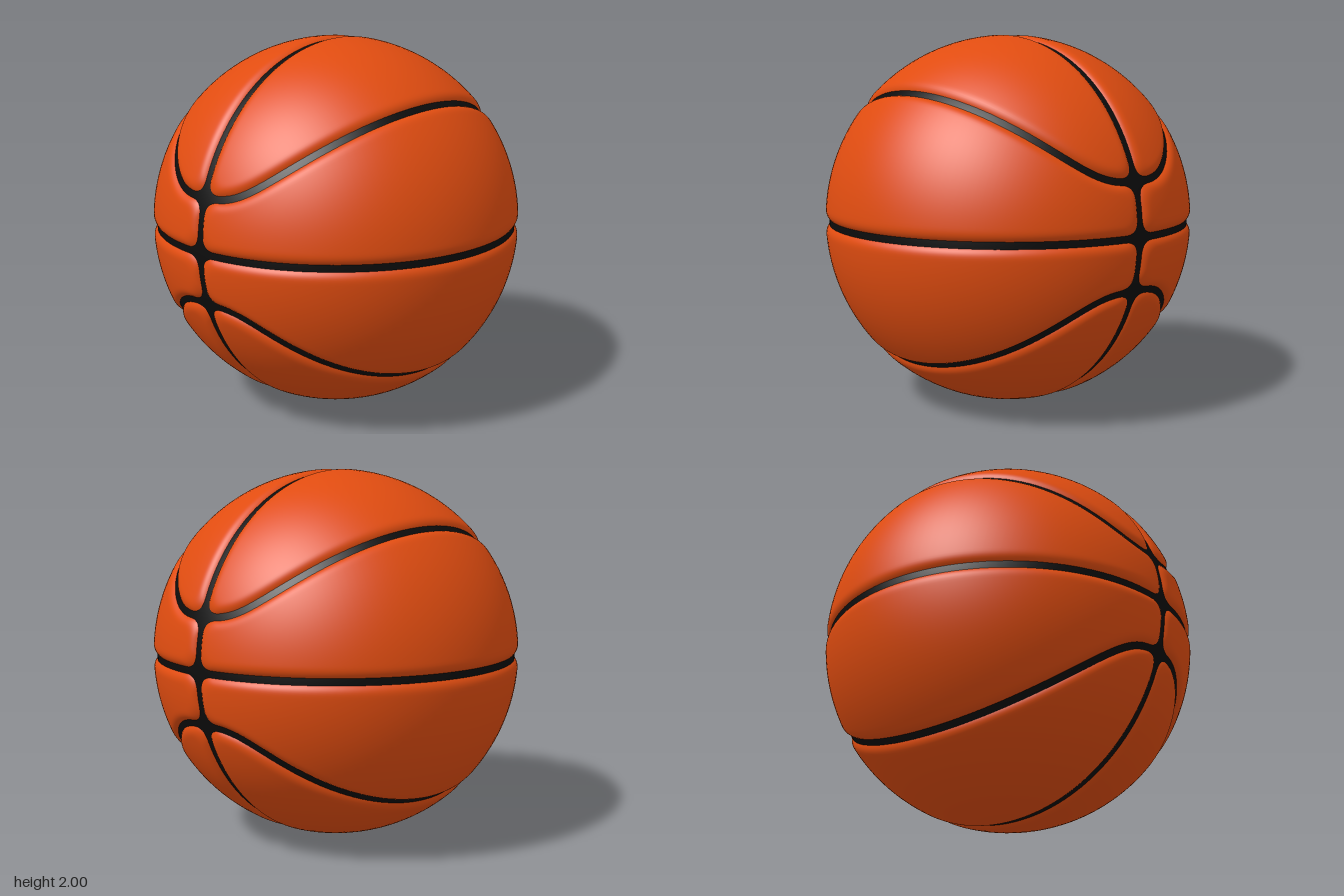
import * as THREE from 'three';

const V = (x, y, z) => new THREE.Vector3(x, y, z).normalize();

// Seam paths of one quarter (y > 0, z > 0) on the unit sphere, t = 0..1 from -x to +x
const END = 0.28; // height of the side junction above the equator
const equator = t => V(-Math.cos(t * Math.PI), 0, Math.sin(t * Math.PI));
const bow = t => {
  const z = 0.7 * Math.sin(t * Math.PI);
  const y = (END ** 3.5 + Math.max(z, 0) ** 3.5) ** (1 / 3.5);
  return V(-0.96 * Math.cos(t * Math.PI), y, z);
};
const meridian = t => {
  const a = Math.asin(END);
  const phi = a + t * (Math.PI - 2 * a);
  return V(-Math.cos(phi), Math.sin(phi), 0);
};

// Distance from a point to the bowed seam
const bowPoints = Array.from({ length: 301 }, (_, i) => bow(i / 300));
const segment = new THREE.Line3();
const nearest = new THREE.Vector3();
function bowDistance(p) {
  let best = Infinity;
  for (let i = 0; i < 300; i++) {
    segment.set(bowPoints[i], bowPoints[i + 1]).closestPointToPoint(p, true, nearest);
    best = Math.min(best, nearest.distanceToSquared(p));
  }
  return Math.sqrt(best);
}

// Smooth minimum rounds the panel corners where seams meet
function smoothMin(a, b, k = 0.08) {
  const h = Math.max(k - Math.abs(a - b), 0) / k;
  return Math.min(a, b) - h * h * k / 4;
}

// Panel surface dips below the seam core near its edges
function surfaceRadius(p) {
  const d = smoothMin(smoothMin(Math.asin(Math.abs(p.y)), Math.asin(Math.abs(p.z))), bowDistance(p));
  const t = THREE.MathUtils.clamp(d / 0.08, 0, 1);
  return 1 - 0.044 * (1 - t) ** 3;
}

// Puffed panel between two seam paths, with rows crowded toward the edges
function panelGeometry(lower, upper, nu = 120, nv = 48) {
  const ease = t => t - 0.8 * Math.sin(2 * Math.PI * t) / (2 * Math.PI);
  const positions = [], index = [];
  for (let j = 0; j <= nv; j++) {
    for (let i = 0; i <= nu; i++) {
      const u = ease(i / nu), v = ease(j / nv);
      const a = lower(u), b = upper(u);
      const angle = a.angleTo(b);
      const p = angle < 1e-5 ? a : a.multiplyScalar(Math.sin((1 - v) * angle))
        .addScaledVector(b, Math.sin(v * angle)).normalize();
      p.multiplyScalar(surfaceRadius(p));
      positions.push(p.x, p.y, p.z);
      if (i < nu && j < nv) {
        const q = j * (nu + 1) + i, r = q + nu + 1;
        index.push(q, q + 1, r, q + 1, r + 1, r);
      }
    }
  }
  const g = new THREE.BufferGeometry();
  g.setAttribute('position', new THREE.Float32BufferAttribute(positions, 3));
  g.setIndex(index);
  g.computeVertexNormals();
  return g;
}

export function createModel() {
  const model = new THREE.Group();
  model.name = 'basketball';
  const leather = new THREE.MeshStandardMaterial({ color: 0xe04c10 });
  const rubber = new THREE.MeshStandardMaterial({ color: 0x0c0c0c });

  // Dark core that shows through as the seams
  const core = new THREE.Mesh(new THREE.SphereGeometry(0.98, 128, 80), rubber);
  core.name = 'seamCore';
  core.position.y = 1;
  model.add(core);

  // Two panels per quarter, turned half a revolution about each axis
  const middle = panelGeometry(equator, bow);
  const cap = panelGeometry(bow, meridian);
  const quarters = {
    upperFront: [0, 0, 0],
    upperBack: [0, Math.PI, 0],
    lowerFront: [0, 0, Math.PI],
    lowerBack: [Math.PI, 0, 0],
  };
  for (const [name, turn] of Object.entries(quarters)) {
    const quarter = new THREE.Group();
    quarter.name = name + 'Quarter';
    quarter.position.y = 1;
    quarter.rotation.set(...turn);
    for (const [part, geometry] of [['MiddlePanel', middle], ['CapPanel', cap]]) {
      const panel = new THREE.Mesh(geometry, leather);
      panel.name = name + part;
      quarter.add(panel);
    }
    model.add(quarter);
  }
  return model;
}
